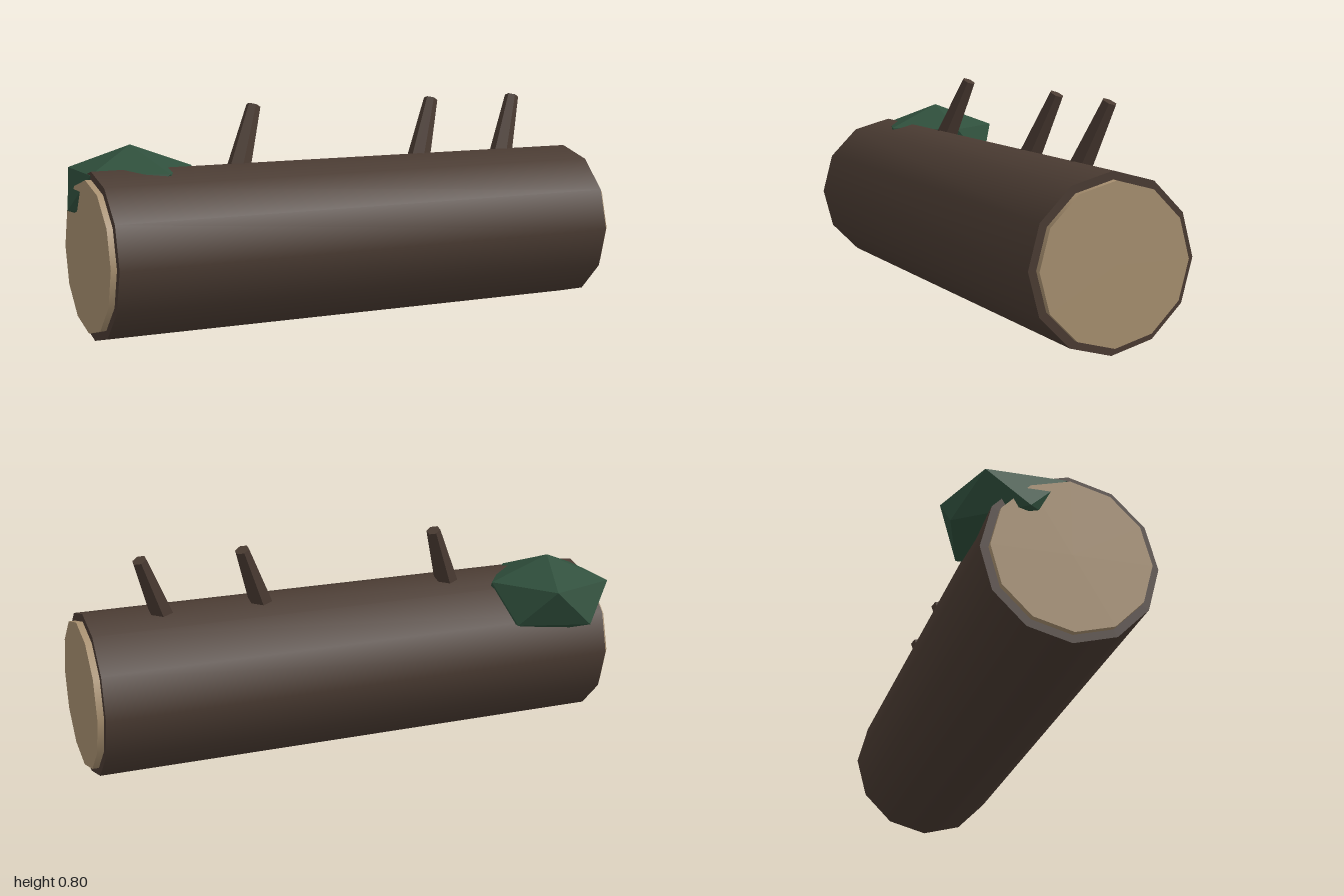
import * as THREE from 'three';
import { ConvexGeometry } from 'three/addons/geometries/ConvexGeometry.js';

const material = (name, color) => new THREE.MeshStandardMaterial({ name, color });

export function createModel() {
  const bark = material('bark', 0x4a3b32);
  const wood = material('cutWood', 0xa89070);
  const moss = material('moss', 0x2f4f3c);

  const model = new THREE.Group();
  model.name = 'mossyLog';
  const add = (name, geometry, mat) => {
    const mesh = new THREE.Mesh(geometry, mat);
    mesh.name = name;
    model.add(mesh);
    return mesh;
  };

  // Twelve-sided cylinder lying along x, from x0 to x1
  const axisY = 0.295, axisZ = 0.033;
  const lying = (radius, x0, x1) =>
    new THREE.CylinderGeometry(radius, radius, x1 - x0, 12)
      .rotateZ(Math.PI / 2)
      .translate((x0 + x1) / 2, axisY, axisZ);

  // Trunk and the pale sawn ends
  add('trunk', lying(0.294, -0.955, 0.975), bark);
  add('rightCutEnd', lying(0.266, -0.976, -0.94), wood);
  add('leftCutEnd', lying(0.266, 0.96, 0.998), wood);

  // Three tapered, faceted branch stubs leaning left and back
  const length = 0.32;
  const stub = new THREE.CylinderGeometry(0.026, 0.049, length, 6).toNonIndexed();
  stub.translate(0, -length / 2, 0);
  stub.computeVertexNormals();
  [-0.317, 0.42, 0.787].forEach((x, i) => {
    const branch = add(`branch${i + 1}`, stub, bark);
    branch.position.set(x, 0.785, -0.058);
    branch.rotation.set(-0.265, 0, -0.36);
  });

  // Moss clump: a flattened icosahedron with a corner pointing up
  const points = [new THREE.Vector3(0, 0.153, 0), new THREE.Vector3(0, -0.153, 0)];
  for (let i = 0; i < 10; i++) {
    const a = (i * Math.PI) / 5;
    const y = i % 2 ? -0.068 : 0.068;
    points.push(new THREE.Vector3(0.23 * Math.cos(a), y, 0.23 * Math.sin(a)));
  }
  add('mossClump', new ConvexGeometry(points), moss).position.set(-0.77, 0.507, -0.107);

  return model;
}
